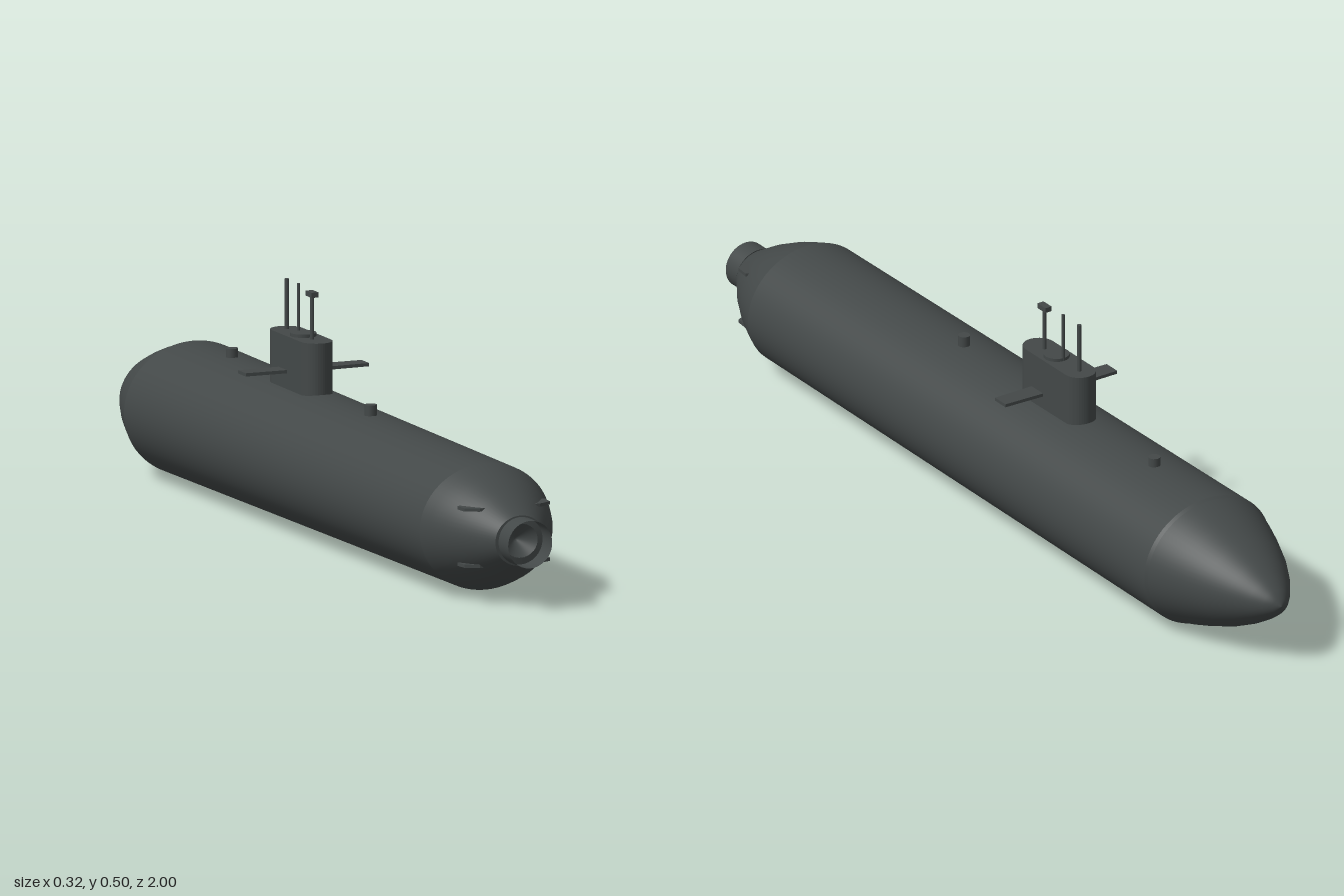
import * as THREE from 'three';

const AXIS_Y = 0.146; // height of the hull axis
const SQUASH = 0.895; // hull is slightly wider than tall

export function createModel() {
  const model = new THREE.Group();
  model.name = 'submarine';

  const hullGrey = new THREE.MeshStandardMaterial({ color: 0x434848 });
  hullGrey.name = 'hullGrey';
  hullGrey.side = THREE.DoubleSide;

  const add = (name, geometry, x = 0, y = 0, z = 0) => {
    const mesh = new THREE.Mesh(geometry, hullGrey);
    mesh.name = name;
    mesh.position.set(x, y, z);
    model.add(mesh);
    return mesh;
  };

  // Body of revolution along z from [radius, z] pairs, listed bow to stern
  const revolve = (name, profile, squash = SQUASH) => {
    const points = profile.map(([r, z]) => new THREE.Vector2(r, z));
    const geometry = new THREE.LatheGeometry(points, 64);
    geometry.rotateX(Math.PI / 2);
    geometry.scale(1, squash, 1);
    return add(name, geometry, 0, AXIS_Y, 0);
  };

  // Flat plate in the xz plane from [x, z] corners
  const plate = (corners, thickness) => {
    const shape = new THREE.Shape(corners.map(([x, z]) => new THREE.Vector2(x, z)));
    const geometry = new THREE.ExtrudeGeometry(shape, { depth: thickness, bevelEnabled: false });
    geometry.translate(0, 0, -thickness / 2);
    geometry.rotateX(Math.PI / 2);
    return geometry;
  };

  // Hull: rounded bow, gently tapering body, stern cone
  revolve('bow', [
    [0, -1], [0.018, -0.993], [0.034, -0.978], [0.053, -0.955], [0.08, -0.915],
    [0.107, -0.865], [0.132, -0.805], [0.148, -0.76], [0.157, -0.73],
  ]);
  revolve('bowShoulder', [[0.157, -0.73], [0.161, -0.722]]);
  revolve('hullBody', [[0.161, -0.722], [0.152, 0.77]]);
  revolve('sternCone', [[0.152, 0.77], [0.143, 0.795], [0.127, 0.835], [0.099, 0.888], [0.058, 0.95]]);

  // Propulsor: end ring, recessed cone and open shroud
  revolve('sternRing', [[0.058, 0.95], [0.039, 0.952]], 0.93);
  revolve('nozzleRecess', [[0.039, 0.952], [0.006, 0.925], [0, 0.924]], 0.95);
  revolve('propulsorShroud', [[0.051, 0.94], [0.051, 1]], 1);

  // Sail with rounded ends
  const halfWidth = 0.035, foreZ = -0.245, aftZ = -0.095;
  const sailShape = new THREE.Shape();
  sailShape.absarc(0, aftZ, halfWidth, 0, Math.PI, false);
  sailShape.absarc(0, foreZ, halfWidth, Math.PI, Math.PI * 2, false);
  sailShape.closePath();
  const sail = new THREE.ExtrudeGeometry(sailShape, { depth: 0.135, bevelEnabled: false, curveSegments: 10 });
  sail.rotateX(Math.PI / 2);
  add('sail', sail, 0, 0.397, 0);
  add('sailHatch', new THREE.CylinderGeometry(0.028, 0.028, 0.012, 20), 0, 0.398, -0.16);

  // Masts, the rear one carrying a periscope head
  for (const [name, z, radius, top] of [
    ['periscopeMast', -0.115, 0.0045, 0.495],
    ['thinMast', -0.185, 0.0035, 0.505],
    ['foreMast', -0.245, 0.005, 0.505],
  ]) {
    add(name, new THREE.CylinderGeometry(radius, radius, top - 0.38, 10), 0, (top + 0.38) / 2, z);
  }
  add('periscopeHead', new THREE.BoxGeometry(0.016, 0.011, 0.03), 0, 0.494, -0.115);

  // Deck hatches
  for (const z of [0.185, -0.525]) {
    add('deckHatch', new THREE.CylinderGeometry(0.013, 0.013, 0.04, 16), 0, 0.288, z);
  }

  // Sail planes and stern fins on both sides
  for (const side of [1, -1]) {
    const mirror = (corners) => corners.map(([x, z]) => [x * side, z]);
    add('sailPlane', plate(mirror([[0.048, -0.18], [0.143, -0.178], [0.143, -0.139], [0.048, -0.137]]), 0.007), 0, 0.327, 0);
    const fin = mirror([[0.05, 0.83], [0.102, 0.852], [0.099, 0.882], [0.07, 0.897], [0.05, 0.897]]);
    for (const y of [0.208, 0.087]) add('sternFin', plate(fin, 0.007), 0, y, 0);
  }

  return model;
}
